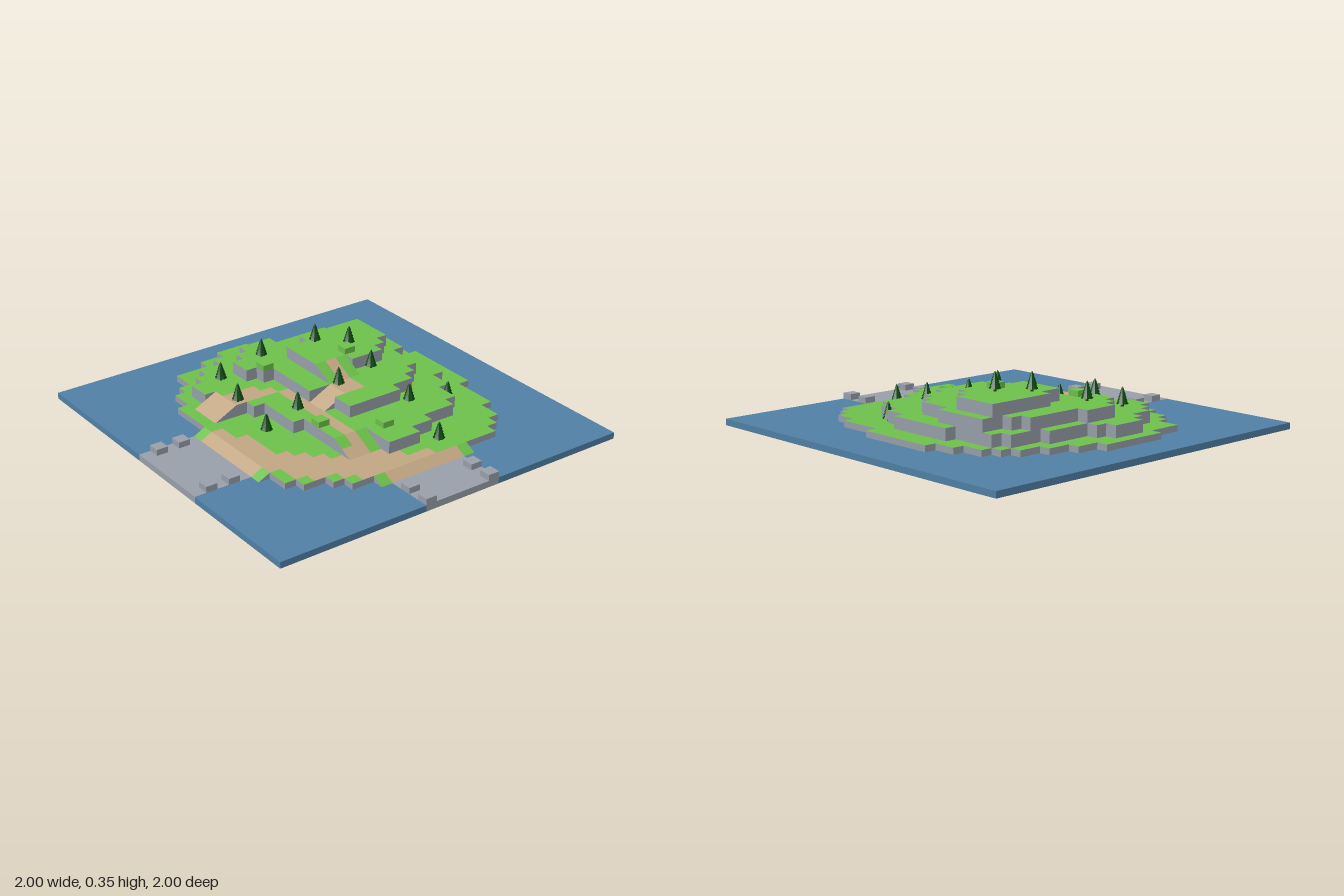
import * as THREE from 'three';

const N = 32, CELL = 2 / N, WATER_Y = 0.033;
const level = k => (k > 0 ? 0.003 + 0.0625 * k : 0);
const pos = i => -1 + i * CELL;

// Terrace outlines: first row, then [first column, last column] of each row
const terraces = [
  { k: 1, row: 3, spans: [[12, 17], [9, 19], [9, 21], [8, 23], [7, 24], [7, 25], [6, 25], [6, 26], [6, 26], [6, 27],
    [5, 27], [5, 27], [5, 27], [5, 27], [5, 27], [5, 27], [5, 26], [5, 26], [5, 26], [6, 26], [6, 25], [7, 25],
    [9, 24], [10, 23], [12, 20]] },
  { k: 2, row: 4, spans: [[13, 15], [12, 16], [10, 20], [9, 23], [8, 24], [8, 24], [9, 24], [9, 24], [9, 25], [10, 25],
    [11, 25], [11, 25], [11, 25], [11, 25], [12, 24], [12, 24], [12, 23], [12, 23], [14, 22], [14, 19], [15, 17]] },
  { k: 3, row: 6, spans: [[14, 16], [13, 21], [12, 22], [12, 24], [13, 24], [14, 24], [14, 24], [14, 24], [14, 23],
    [14, 23], [16, 23], [16, 22], [15, 21], [15, 19]] },
  { k: 4, row: 9, spans: [[18, 23], [16, 23], [16, 23], [16, 23], [16, 22], [19, 21]] },
];

// Slopes over a block of cells, from level a to level b along x or z
const ramps = [
  { c: [5, 5], r: [13, 21], axis: 'x', a: 0.5, b: 1 },
  { c: [12, 20], r: [27, 27], axis: 'z', a: 1, b: 0.5 },
  { c: [7, 8], r: [10, 12], axis: 'x', a: 1, b: 2 },
  { c: [12, 14], r: [22, 23], axis: 'z', a: 2, b: 1 },
  { c: [14, 15], r: [16, 17], axis: 'x', a: 2, b: 3 },
  { c: [16, 18], r: [14, 15], axis: 'z', a: 4, b: 3 },
];

// Sandy path cells: [first row, last row, first column, last column]
const pathAreas = [
  [14, 15, 5, 6], [16, 19, 5, 7], [20, 20, 5, 8], [21, 21, 6, 9], [22, 22, 7, 10], [23, 23, 7, 13], [24, 24, 8, 14],
  [25, 25, 10, 15], [26, 26, 11, 17], [27, 27, 13, 19], [10, 10, 7, 8], [11, 11, 7, 11], [12, 12, 7, 12],
  [13, 22, 13, 13], [16, 17, 14, 17], [14, 15, 17, 17],
];

const inside = (v, [lo, hi]) => v >= lo && v <= hi;
const isPier = (c, r) => (c < 5 && inside(r, [13, 20])) || (r > 27 && inside(c, [13, 19]));
const isPath = (c, r) => pathAreas.some(([r0, r1, c0, c1]) => inside(r, [r0, r1]) && inside(c, [c0, c1]));

function cellLevel(c, r) {
  if (isPier(c, r)) return 0.5;
  let k = 0;
  for (const t of terraces) {
    const span = t.spans[r - t.row];
    if (span && inside(c, span)) k = t.k;
  }
  return k;
}

// Corner heights in the order x0z0, x0z1, x1z1, x1z0
const corners = (c, r) => [[c, r], [c, r + 1], [c + 1, r + 1], [c + 1, r]];
function heights(c, r) {
  if (c < 0 || r < 0 || c >= N || r >= N) return [0, 0, 0, 0];
  const ramp = ramps.find(q => inside(c, q.c) && inside(r, q.r));
  if (!ramp) return Array(4).fill(level(cellLevel(c, r)));
  return corners(c, r).map(([x, z]) => {
    const [v, [lo, hi]] = ramp.axis === 'x' ? [x, ramp.c] : [z, ramp.r];
    return level(ramp.a + (ramp.b - ramp.a) * (v - lo) / (hi + 1 - lo));
  });
}

export function createModel() {
  const model = new THREE.Group();
  const mat = (name, color) => {
    const m = new THREE.MeshStandardMaterial({ color, side: THREE.DoubleSide });
    m.name = name;
    return m;
  };
  const grass = mat('grass', 0x6cc04a), sand = mat('sand', 0xc0a582), stone = mat('stone', 0x989fa9);
  const blue = mat('water', 0x5080a4), needles = mat('needles', 0x0b4a12), bark = mat('bark', 0x4a3320);

  const add = (name, geometry, material, x = 0, y = 0, z = 0, parent = model) => {
    const mesh = new THREE.Mesh(geometry, material);
    mesh.name = name;
    mesh.position.set(x, y, z);
    parent.add(mesh);
  };

  // Flat faces are collected per part
  const faces = { grassTerraces: [], sandyPath: [], cliffs: [], piers: [], seaFloor: [], sea: [] };
  const quad = (part, a, b, c, d) => faces[part].push(...a, ...b, ...c, ...a, ...c, ...d);
  const steps = [[-1, 0], [0, 1], [1, 0], [0, -1]];

  for (let r = 0; r < N; r++) for (let c = 0; c < N; c++) {
    const h = heights(c, r), k = cellLevel(c, r);
    const at = (i, y) => { const [x, z] = corners(c, r)[i % 4]; return [pos(x), y, pos(z)]; };
    const flat = (part, y) => quad(part, ...[0, 1, 2, 3].map(i => at(i, y[i])));

    // Ground and water surface
    flat(k === 0 ? 'seaFloor' : k === 0.5 ? 'piers' : isPath(c, r) ? 'sandyPath' : 'grassTerraces', h);
    if (k !== 0.5) flat('sea', Array(4).fill(WATER_Y));

    // Cliff faces down to lower neighbours, and the outer rim of the water
    steps.forEach(([dc, dr], e) => {
      const nc = c + dc, nr = r + dr, n = heights(nc, nr);
      const ha = h[e], hb = h[(e + 1) % 4], la = n[(e + 3) % 4], lb = n[(e + 2) % 4];
      if (ha + hb > la + lb + 1e-5) quad('cliffs', at(e, ha), at(e, la), at(e + 1, lb), at(e + 1, hb));
      const border = nc < 0 || nr < 0 || nc >= N || nr >= N;
      if (border && k === 0) quad('sea', at(e, WATER_Y), at(e, 0), at(e + 1, 0), at(e + 1, WATER_Y));
    });
  }
  const materials = { grassTerraces: grass, sandyPath: sand, cliffs: stone, piers: stone, seaFloor: grass, sea: blue };
  for (const [name, points] of Object.entries(faces)) {
    const g = new THREE.BufferGeometry();
    g.setAttribute('position', new THREE.Float32BufferAttribute(points, 3));
    g.computeVertexNormals();
    add(name, g, materials[name]);
  }

  // Pier posts and grassy blocks, half a step high: column, row, base level
  const block = new THREE.BoxGeometry(CELL, CELL / 2, CELL);
  const addBlock = (name, material, c, r, k) =>
    add(name, block, material, pos(c + 0.5), level(k) + CELL / 4, pos(r + 0.5));
  for (const c of [1, 3]) for (const r of [13, 20]) addBlock('pierPost', stone, c, r, 0.5);
  for (const c of [13, 19]) for (const r of [29, 31]) addBlock('pierPost', stone, c, r, 0.5);
  for (const [c, r, k] of [[13, 10, 3], [19, 13, 4], [16, 22, 2], [12, 19, 2]]) addBlock('grassBlock', grass, c, r, k);

  // Conifers: stacked skirts on a short trunk
  const profile = [[0, 0.012]];
  const tiers = 5;
  for (let i = 0; i < tiers; i++) {
    const y = 0.014 + i * 0.016;
    profile.push([0.031 - i * 0.005, y], [0.02 - i * 0.004, y + 0.016]);
  }
  profile.push([0, 0.101]);
  const crown = new THREE.LatheGeometry(profile.map(([x, y]) => new THREE.Vector2(x, y)), 8).toNonIndexed();
  crown.computeVertexNormals();
  const trunk = new THREE.CylinderGeometry(0.008, 0.008, 0.016, 6);
  const trees = [[10, 8, 2], [14, 8, 3], [18, 10, 4], [9, 12, 2], [20, 12, 4], [20, 15, 3], [9, 16, 1], [12, 16, 2],
    [16, 16, 3], [20, 20, 2], [24, 20, 1], [19, 25, 1]];
  for (const [c, r, k] of trees) {
    const tree = new THREE.Group();
    tree.name = 'tree';
    tree.position.set(pos(c + 0.5), level(k), pos(r + 0.5));
    add('treeCrown', crown, needles, 0, 0, 0, tree);
    add('treeTrunk', trunk, bark, 0, 0.008, 0, tree);
    model.add(tree);
  }
  return model;
}
